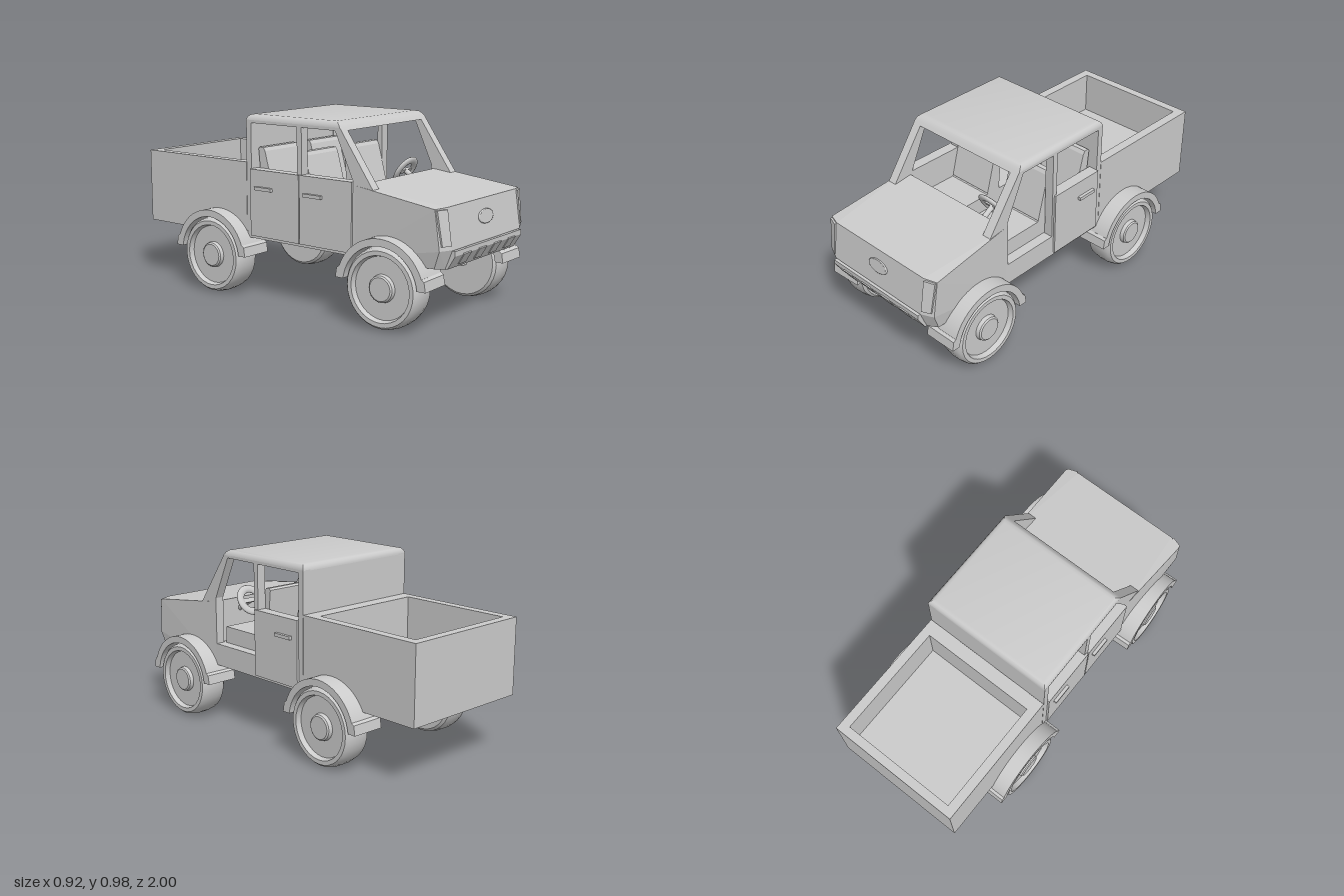
import * as THREE from 'three';
import { ConvexGeometry } from 'three/addons/geometries/ConvexGeometry.js';
import { toCreasedNormals } from 'three/addons/utils/BufferGeometryUtils.js';

const grey = new THREE.MeshStandardMaterial({ color: 0xcccccc });

function add(parent, name, geometry) {
  const mesh = new THREE.Mesh(geometry, grey);
  mesh.name = name;
  parent.add(mesh);
  return mesh;
}

// Box given by its limits
function box(x0, x1, y0, y1, z0, z1) {
  return new THREE.BoxGeometry(x1 - x0, y1 - y0, z1 - z0)
    .translate((x0 + x1) / 2, (y0 + y1) / 2, (z0 + z1) / 2);
}

// Side-view shape drawn as (z, y), extruded across x
function extrudeX(shape, x0, x1) {
  return new THREE.ExtrudeGeometry(shape, { depth: x1 - x0, bevelEnabled: false, curveSegments: 20 })
    .rotateY(-Math.PI / 2).translate(x1, 0, 0);
}

const polygon = (pts) => new THREE.Shape(pts.map(([u, v]) => new THREE.Vector2(u, v)));
const hull = (pts) => new ConvexGeometry(pts.map((p) => new THREE.Vector3(...p)));
const mirrored = (pts) => pts.flatMap(([x, y, z]) => [[x, y, z], [-x, y, z]]);

const W = 0.37;      // half width of the body
const IN = 0.32;     // half width of the interior

function buildCab() {
  const cab = new THREE.Group();
  cab.name = 'cab';

  // Side walls with window cutouts; the +x front door is left open
  const outline = [[-0.255, 0.32], [0.46, 0.32], [0.46, 0.673], [0.567, 0.66], [0.365, 0.945], [-0.255, 0.945]];
  for (const s of [-1, 1]) {
    const sill = s > 0 ? 0.44 : 0.69;
    const wall = polygon(outline);
    const front = [[0.12, sill], [0.445, sill], [0.445, 0.695], [0.335, 0.93], [0.12, 0.93]];
    const rear = [[-0.222, 0.69], [0.09, 0.69], [0.09, 0.93], [-0.222, 0.93]];
    wall.holes.push(polygon(front), polygon(rear));
    add(cab, 'sideWall', extrudeX(wall, s > 0 ? IN : -W, s > 0 ? W : -IN));

    // Door skins and handles
    const doors = [[-0.222, 0.108, -0.18, -0.068]];
    if (s < 0) doors.push([0.114, 0.445, 0.15, 0.262]);
    for (const [z0, z1, h0, h1] of doors) {
      const a = s * (W - 0.01), b = s * (W + 0.011), c = s * (W + 0.028);
      add(cab, 'doorSkin', box(Math.min(a, b), Math.max(a, b), 0.335, 0.69, z0, z1));
      add(cab, 'doorHandle', box(Math.min(b, c), Math.max(b, c), 0.584, 0.602, h0, h1));
    }
  }
  add(cab, 'rearWall', box(-IN, IN, 0.32, 0.94, -0.255, -0.225));
  add(cab, 'floor', box(-IN, IN, 0.32, 0.44, -0.225, 0.46));

  // Roof: stacked rectangles that shrink towards the top for a rounded rim
  const rings = [[0.93, 0, 0.376], [0.947, 0, 0.364], [0.961, 0.006, 0.352], [0.971, 0.016, 0.338], [0.975, 0.032, 0.32]];
  const pos = [], index = [];
  for (const [y, d, zf] of rings) {
    const x = W - d, zb = -0.255 + d;
    pos.push(-x, y, zf, x, y, zf, x, y, zb, -x, y, zb);
  }
  for (let r = 0; r < rings.length - 1; r++) {
    for (let k = 0; k < 4; k++) {
      const a = r * 4 + k, b = r * 4 + (k + 1) % 4;
      index.push(a, b, b + 4, a, b + 4, a + 4);
    }
  }
  const t = (rings.length - 1) * 4;
  index.push(t, t + 1, t + 2, t, t + 2, t + 3, 0, 2, 1, 0, 3, 2);
  const roof = new THREE.BufferGeometry();
  roof.setAttribute('position', new THREE.Float32BufferAttribute(pos, 3));
  roof.setIndex(index);
  add(cab, 'roof', toCreasedNormals(roof, 0.7));
  return cab;
}

function buildNose() {
  const nose = new THREE.Group();
  nose.name = 'nose';
  // Hood with chamfered front corners
  add(nose, 'hood', hull(mirrored([
    [W, 0.32, 0.46], [W, 0.673, 0.46], [W, 0.33, 0.92], [0.31, 0.32, 0.945],
    [0.383, 0.42, 0.955], [0.32, 0.42, 0.983], [0.388, 0.615, 0.93], [0.32, 0.618, 0.953],
  ])));
  // Bumper with four square pads
  add(nose, 'bumper', hull(mirrored([
    [0.314, 0.415, 0.95], [0.314, 0.415, 0.997], [0.314, 0.39, 0.997], [0.314, 0.323, 0.957], [0.314, 0.323, 0.92],
  ])));
  for (let i = 0; i < 4; i++) {
    const pad = add(nose, 'bumperPad', new THREE.BoxGeometry(0.066, 0.064, 0.014));
    pad.position.set(-0.205 + i * 0.14, 0.367, 0.98);
    pad.rotation.x = 0.54;
  }
  // Headlight panels on the chamfers
  for (const s of [-1, 1]) {
    add(nose, 'headlight', hull([
      [0.325, 0.44, 0.96], [0.325, 0.44, 0.985], [0.372, 0.44, 0.94], [0.372, 0.44, 0.965],
      [0.328, 0.61, 0.935], [0.328, 0.61, 0.962], [0.385, 0.61, 0.915], [0.385, 0.61, 0.942],
    ].map(([x, y, z]) => [s * x, y, z])));
  }
  // Plain oval plate with raised rim
  const plate = new THREE.Group();
  plate.name = 'ovalPlate';
  add(plate, 'plate', new THREE.CylinderGeometry(0.06, 0.06, 0.012, 32).rotateX(Math.PI / 2));
  add(plate, 'plateRim', new THREE.TorusGeometry(0.061, 0.006, 8, 32));
  plate.scale.y = 0.54;
  plate.position.set(0.005, 0.53, 0.968);
  plate.rotation.x = -0.15;
  nose.add(plate);
  return nose;
}

function buildSeat(x0, x1, z, baseBack) {
  // Cushion and leaning backrest
  const seat = new THREE.Group();
  seat.name = 'seat';
  const cushion = [[baseBack, 0.44], [0.3, 0.44], [0.3, 0.53], [0.04, 0.53], [0.02, 0.545], [baseBack, 0.545]];
  const back = [[-0.04, 0.44], [0.01, 0.44], [0.035, 0.54], [-0.03, 0.78], [-0.042, 0.798], [-0.065, 0.8], [-0.075, 0.79]];
  add(seat, 'seatCushion', extrudeX(polygon(cushion), x0, x1));
  add(seat, 'seatBack', extrudeX(polygon(back), x0, x1));
  seat.position.z = z;
  return seat;
}

function buildSteering() {
  const g = new THREE.Group();
  g.name = 'steeringWheel';
  add(g, 'wheelRim', new THREE.TorusGeometry(0.066, 0.022, 10, 32).scale(1, 1, 0.55));
  add(g, 'wheelSpoke', box(-0.06, 0.06, -0.012, 0.012, -0.006, 0.006));
  add(g, 'steeringColumn', new THREE.CylinderGeometry(0.014, 0.014, 0.15, 16).rotateX(Math.PI / 2).translate(0, 0, 0.075));
  g.position.set(0.19, 0.67, 0.367);
  g.rotation.x = 0.547;
  return g;
}

function buildBed() {
  const bed = new THREE.Group();
  bed.name = 'cargoBed';
  add(bed, 'bedFloor', box(-W, W, 0.32, 0.49, -1, -0.257));
  add(bed, 'frontPanel', box(-W, W, 0.49, 0.722, -0.33, -0.257));
  add(bed, 'tailgate', box(-W, W, 0.49, 0.722, -1, -0.953));
  for (const s of [-1, 1]) {
    add(bed, 'bedSide', box(s > 0 ? IN : -W, s > 0 ? W : -IN, 0.49, 0.722, -0.953, -0.33));
  }
  return bed;
}

// Tyre, recessed rim and hub as one turned profile
const wheelProfile = [
  [0, -0.075], [0.183, -0.075], [0.197, -0.062], [0.205, -0.02], [0.205, 0.03], [0.198, 0.064], [0.187, 0.077],
  [0.165, 0.077], [0.157, 0.05], [0.07, 0.05], [0.066, 0.07], [0.058, 0.076], [0, 0.076],
].map(([r, y]) => new THREE.Vector2(r, y));

function buildWheel(side, z, steer) {
  const g = new THREE.Group();
  g.name = z > 0 ? 'frontWheel' : 'rearWheel';
  const turned = new THREE.LatheGeometry(wheelProfile, 32).rotateZ(-side * Math.PI / 2);
  add(g, 'tyreAndRim', toCreasedNormals(turned, 0.6));

  // Arched fender with flared ends
  const arch = new THREE.Shape();
  arch.moveTo(0.255, 0.025);
  arch.lineTo(0.247, 0.075);
  arch.lineTo(0.233, 0.085);
  arch.absarc(0, 0, 0.247, 0.35, Math.PI - 0.35, false);
  arch.lineTo(-0.247, 0.075);
  arch.lineTo(-0.255, 0.025);
  arch.lineTo(-0.208, 0.025);
  arch.absarc(0, 0, 0.21, Math.PI - 0.12, 0.12, true);
  arch.lineTo(0.208, 0.025);
  const fender = extrudeX(arch, -0.09, 0.09);
  add(g, 'fender', toCreasedNormals(fender, 0.5)).position.x = side * -0.008;

  g.position.set(side * 0.374, 0.205, z);
  g.rotation.y = steer;
  return g;
}

export function createModel() {
  const model = new THREE.Group();
  model.name = 'pickupTruck';
  const body = new THREE.Group();
  body.name = 'body';
  body.position.x = -0.004;
  body.add(buildCab(), buildNose(), buildBed(), buildSteering());
  for (const [x0, x1] of [[-0.315, -0.05], [0.06, 0.315]]) {
    body.add(buildSeat(x0, x1, 0.13, -0.02), buildSeat(x0, x1, -0.145, -0.06));
  }
  model.add(body);

  for (const z of [0.662, -0.457]) {
    // Axle beam with hanging end brackets
    add(model, 'axleBeam', box(-0.26, 0.26, 0.275, 0.33, z - 0.025, z + 0.025));
    for (const s of [-1, 1]) {
      add(model, 'axleBracket', box(s > 0 ? 0.255 : -0.31, s > 0 ? 0.31 : -0.255, 0.185, 0.33, z - 0.025, z + 0.025));
      model.add(buildWheel(s, z, s < 0 && z > 0 ? 0.045 : 0));
    }
  }
  return model;
}
